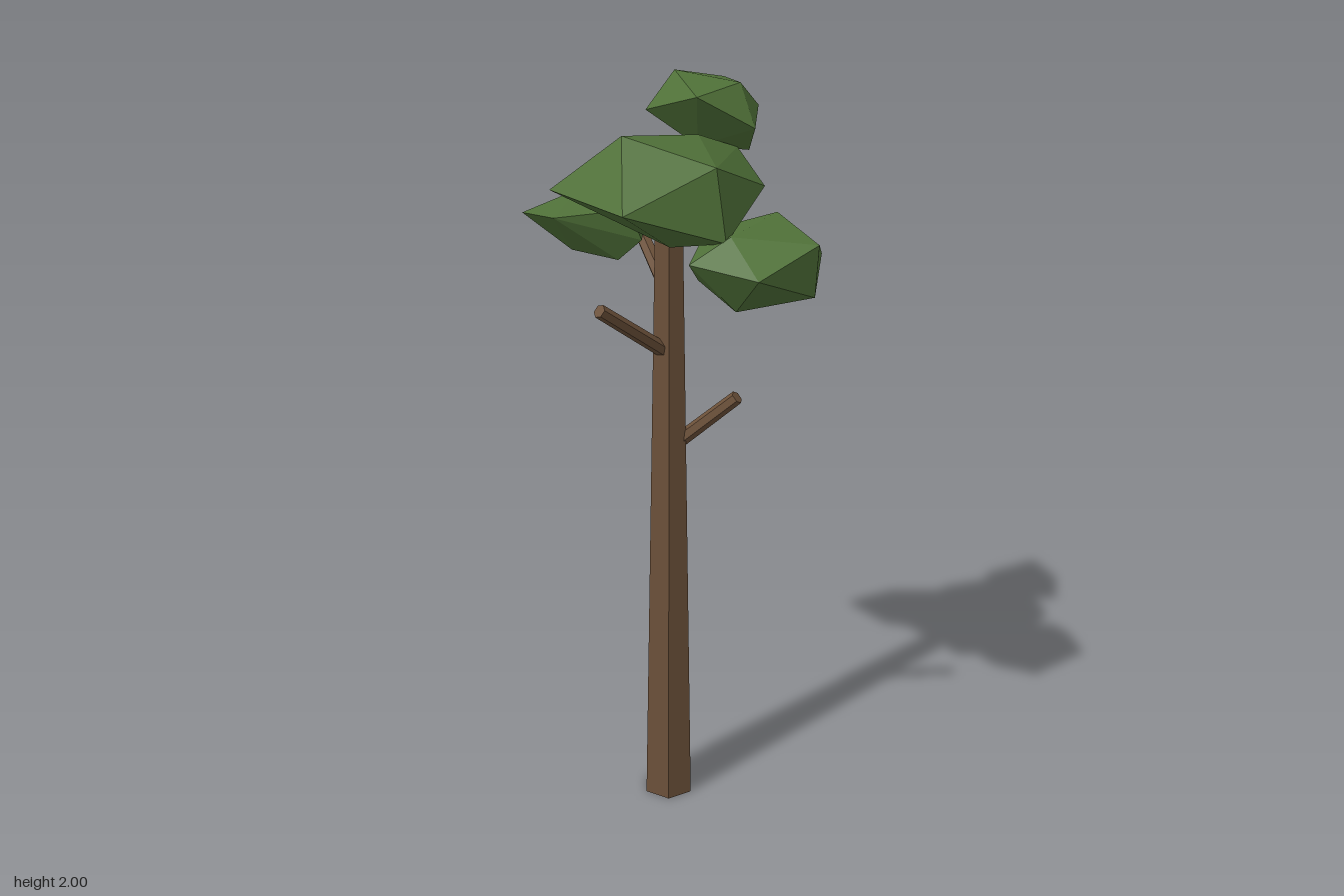
import * as THREE from 'three';
import { ConvexGeometry } from 'three/addons/geometries/ConvexGeometry.js';

const bark = new THREE.MeshStandardMaterial({ color: 0x6b5039, flatShading: true, side: THREE.DoubleSide });
const leaf = new THREE.MeshStandardMaterial({ color: 0x4f7038, flatShading: true });
const V = (p) => new THREE.Vector3(...p);

// Tapered six-sided stick between two points
function stick(name, from, to, r0, r1, open = false) {
  const a = V(from), b = V(to), dir = b.clone().sub(a);
  const mesh = new THREE.Mesh(new THREE.CylinderGeometry(r1, r0, dir.length(), 6, 1, open), bark);
  mesh.position.copy(a).add(b).multiplyScalar(0.5);
  mesh.quaternion.setFromUnitVectors(new THREE.Vector3(0, 1, 0), dir.normalize());
  mesh.name = name;
  return mesh;
}

// Faceted leaf clump: the hull around a few corner points
function clump(name, corners) {
  const mesh = new THREE.Mesh(new ConvexGeometry(corners.map(V)), leaf);
  mesh.name = name;
  return mesh;
}

export function createModel() {
  const tree = new THREE.Group();
  tree.name = 'tree';

  // Hexagonal trunk, open at the base, and three bare branches
  tree.add(
    stick('trunk', [-0.003, 0, 0], [-0.002, 1.66, 0], 0.073, 0.04, true),
    stick('lowerBranch', [0.025, 1.075, 0.005], [0.172, 1.217, 0.06], 0.02, 0.018),
    stick('middleBranch', [-0.01, 1.325, 0.015], [-0.172, 1.477, 0.152], 0.02, 0.018),
    stick('upperBranch', [-0.01, 1.485, -0.015], [-0.105, 1.637, -0.242], 0.02, 0.018),
  );

  // Broad middle clump
  tree.add(clump('mainFoliage', [
    [-0.115, 1.89, 0.08], [0.07, 1.87, -0.03], [0.11, 1.83, 0.155],
    [0.17, 1.82, -0.12], [-0.13, 1.81, -0.18], [-0.295, 1.745, 0.02],
    [-0.11, 1.74, 0.262], [0.235, 1.745, -0.02], [0.05, 1.76, -0.262],
    [0.134, 1.655, 0.185], [0.16, 1.67, -0.18], [-0.2, 1.685, -0.05],
    [0.05, 1.61, -0.07], [0, 1.615, 0.075],
  ]));

  // Small clump at the crown
  tree.add(clump('topFoliage', [
    [0.012, 2, -0.185], [0.175, 1.98, -0.12], [0.065, 1.965, -0.003],
    [0.14, 1.963, -0.302], [0.225, 1.91, -0.197], [-0.06, 1.915, -0.11],
    [0.21, 1.88, -0.05], [0.005, 1.88, -0.25], [0.12, 1.855, -0.275],
    [0.2, 1.81, -0.13], [0.07, 1.825, -0.11],
  ]));

  // Side clumps, one forward and one backward
  tree.add(clump('leftFoliage', [
    [0.265, 1.69, 0.02], [0.145, 1.67, 0.18], [0.355, 1.655, 0.197],
    [0.207, 1.595, 0.3], [0.378, 1.585, 0.022], [0.045, 1.61, 0.21],
    [0.09, 1.64, 0.01], [0.227, 1.57, -0.04], [0.35, 1.52, 0.18],
    [0.16, 1.485, 0.185], [0.27, 1.505, 0.1], [0.07, 1.53, 0.07],
  ]));
  tree.add(clump('rightFoliage', [
    [-0.237, 1.7, -0.166], [-0.1, 1.69, 0], [-0.38, 1.64, -0.166],
    [-0.288, 1.67, 0.005], [-0.21, 1.64, -0.256], [-0.045, 1.68, -0.23],
    [-0.07, 1.61, -0.01], [-0.25, 1.56, -0.1], [-0.085, 1.55, -0.215],
    [-0.13, 1.55, -0.04],
  ]));
  return tree;
}
